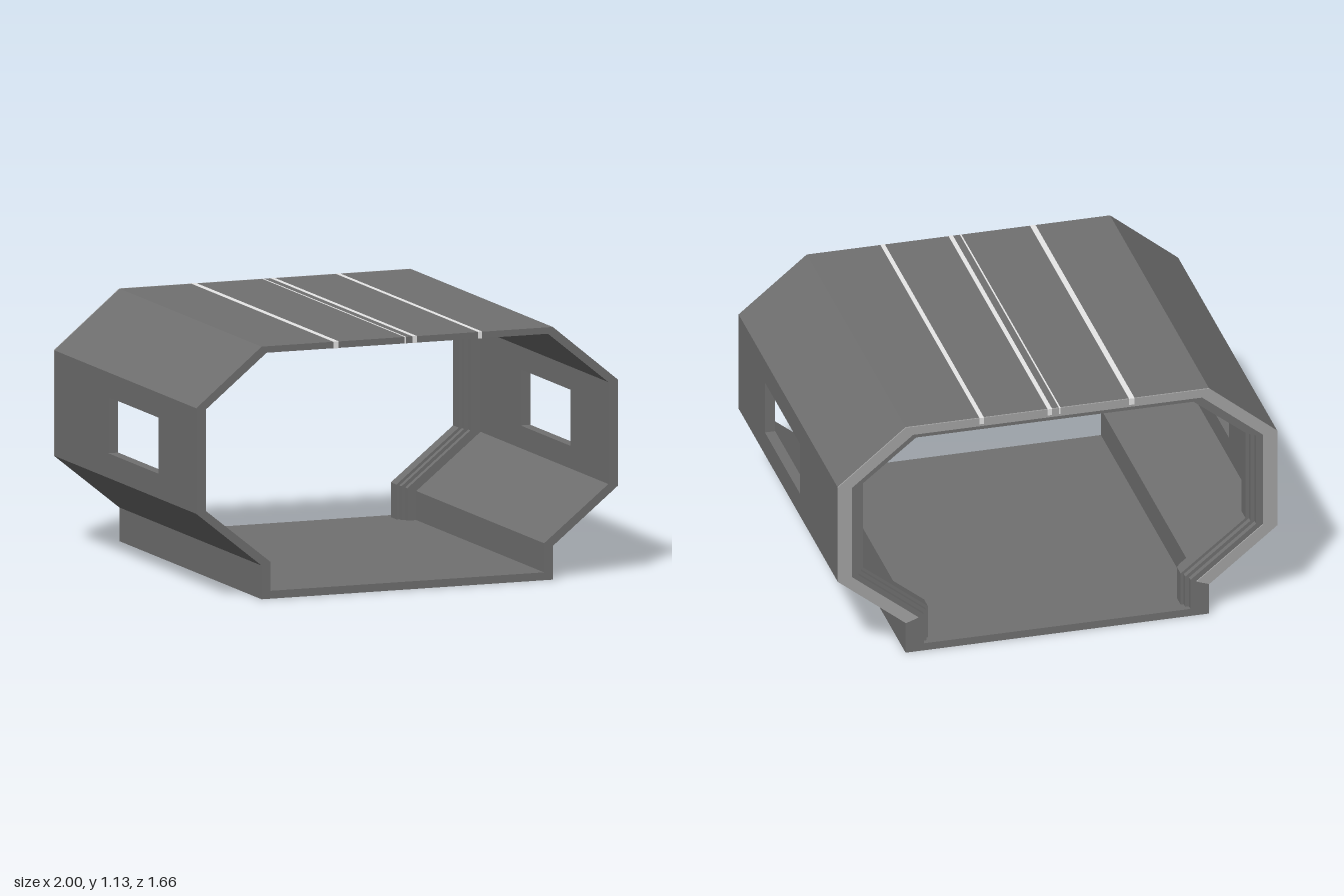
import * as THREE from 'three';

const darkGrey = new THREE.MeshStandardMaterial({ color: 0x707070 });
darkGrey.name = 'dark grey panel';
const sealGrey = new THREE.MeshStandardMaterial({ color: 0xa4a4a4 });
sealGrey.name = 'seal grey';
const white = new THREE.MeshStandardMaterial({ color: 0xffffff });
white.name = 'white strip';

const FRONT = 0.83, BACK = -0.825;
const WALL = 0.36; // shell thickness as a share of the full frame depth
const WINDOW = { y0: 0.51, y1: 0.76, z0: -0.195, z1: 0.39 };

// Half profile of the section, from the leg to the roof edge
const OUTER = [[0.69, 0], [0.69, 0.15], [1, 0.4], [1, 0.87], [0.69, 1.125]];
const INNER = [[0.575, 0.035], [0.575, 0.19], [0.87, 0.425], [0.87, 0.85], [0.625, 1.045]];
const profile = t => OUTER.map((p, i) => p.map((v, k) => v + (INNER[i][k] - v) * t));
const mirror = pts => pts.map(([x, y]) => [-x, y]).reverse();

// Extrude a closed outline between two depths
function prism(name, pts, z0, z1, material) {
  const shape = new THREE.Shape(pts.map(([x, y]) => new THREE.Vector2(x, y)));
  const geo = new THREE.ExtrudeGeometry(shape, { depth: z1 - z0, bevelEnabled: false });
  geo.translate(0, 0, z0);
  const mesh = new THREE.Mesh(geo, material);
  mesh.name = name;
  return mesh;
}

function box(name, x0, x1, y0, y1, z0, z1, material) {
  const mesh = new THREE.Mesh(new THREE.BoxGeometry(x1 - x0, y1 - y0, z1 - z0), material);
  mesh.position.set((x0 + x1) / 2, (y0 + y1) / 2, (z0 + z1) / 2);
  mesh.name = name;
  return mesh;
}

// Arch between two profile depths, standing on the floor
function arch(name, tOut, tIn, z0, z1, material, fromPoint = 0) {
  const a = profile(tOut).slice(fromPoint), b = profile(tIn).slice(fromPoint);
  if (fromPoint === 0) { a[0][1] = 0.03; b[0][1] = 0.03; }
  return prism(name, [...a, ...mirror(a), ...mirror(b).reverse(), ...b.reverse()], z0, z1, material);
}

export function createModel() {
  const group = new THREE.Group();
  group.name = 'corridorSection';
  const inner = profile(WALL);
  const wallX = inner[2][0];

  // Lower shell: floor, legs, lower slopes and walls up to the window sill
  const lowOut = [...OUTER.slice(0, 3), [1, WINDOW.y0]];
  const lowIn = [[inner[0][0], 0.035], inner[1], inner[2], [wallX, WINDOW.y0]];
  group.add(prism('lowerShell',
    [...lowOut, ...[...lowIn].reverse(), ...mirror(lowIn).reverse(), ...mirror(lowOut)],
    BACK, FRONT, darkGrey));

  // Upper shell: walls above the windows, upper slopes and roof
  const upOut = [[1, WINDOW.y1], ...OUTER.slice(3)];
  const upIn = [[wallX, WINDOW.y1], ...inner.slice(3)];
  group.add(prism('upperShell',
    [...upOut, ...mirror(upOut), ...mirror(upIn).reverse(), ...[...upIn].reverse()],
    BACK, FRONT, darkGrey));

  // Wall pieces on either side of each window
  for (const s of [1, -1]) {
    const x0 = Math.min(s, s * wallX), x1 = Math.max(s, s * wallX);
    for (const [z0, z1] of [[BACK, WINDOW.z0], [WINDOW.z1, FRONT]])
      group.add(box('sideWall', x0, x1, WINDOW.y0, WINDOW.y1, z0, z1, darkGrey));
  }

  // Stepped door frame just inside the back end
  const steps = [[WALL, 0.73, -0.825, -0.66], [0.73, 0.88, -0.8, -0.685], [0.88, 1, -0.775, -0.71]];
  for (const [tOut, tIn, z0, z1] of steps)
    group.add(arch('doorFrameStep', tOut, tIn, z0, z1, darkGrey));

  // Thin seal around the back end, stopping above the legs
  group.add(arch('backSeal', 0, 0.5, BACK - 0.006, BACK, sealGrey, 1));

  // Pale strips running through the roof and the frame
  const roofBottom = inner[4][1];
  for (const [x, w] of [[-0.338, 0.025], [-0.01, 0.007], [0.035, 0.02], [0.345, 0.02]]) {
    group.add(box('roofStrip', x - w / 2, x + w / 2, roofBottom - 0.001, 1.126, BACK - 0.007, FRONT + 0.001, white));
    group.add(box('frameStrip', x - w / 2, x + w / 2, 1.044, roofBottom, -0.776, -0.709, white));
  }
  return group;
}
